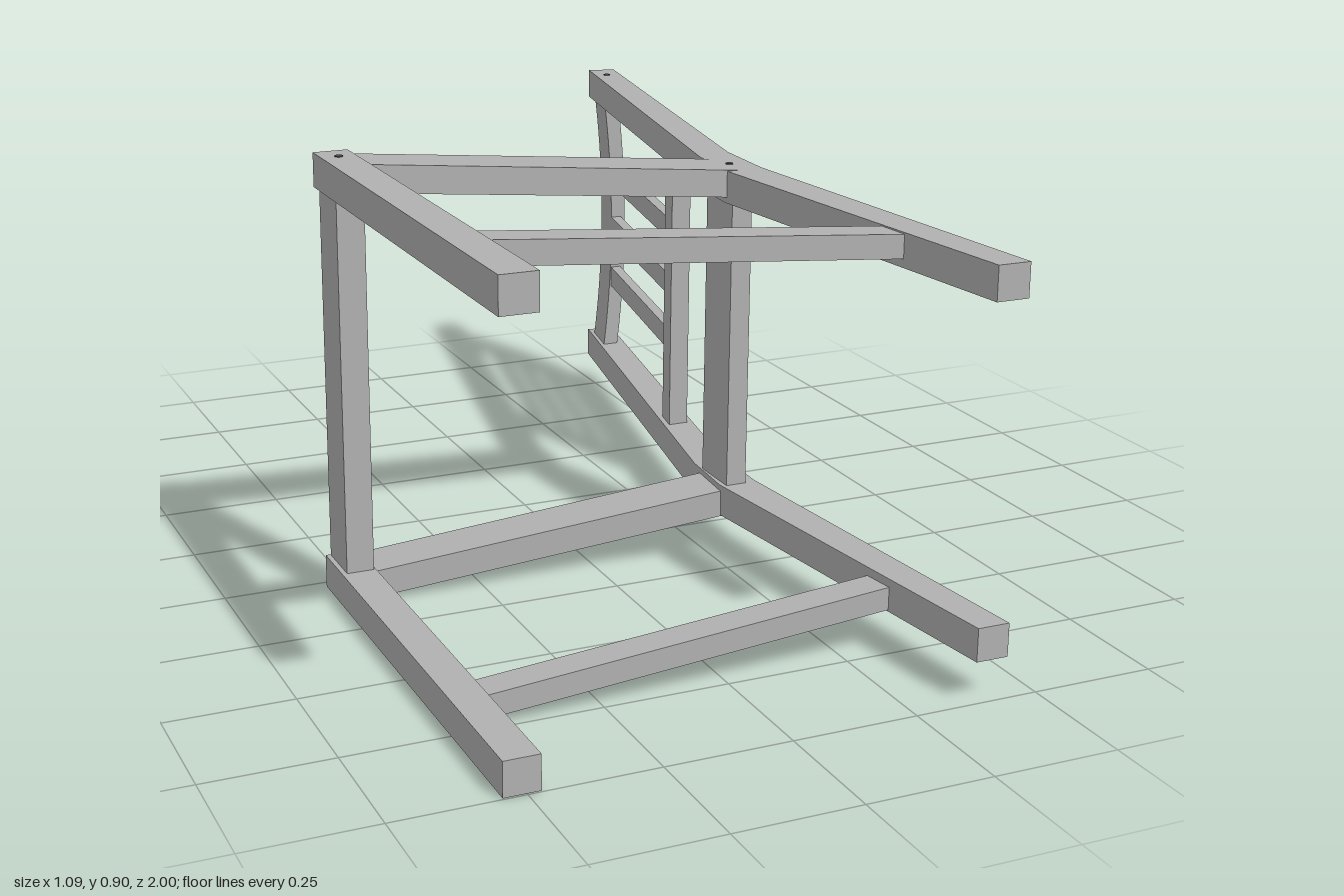
import * as THREE from 'three';

// A chair frame lying on its side: its seat width runs along y, its upright direction along -z.
export function createModel() {
  const model = new THREE.Group();
  model.name = 'chairFrame';
  const wood = new THREE.MeshStandardMaterial({ color: 0xb0b0b0 });
  wood.name = 'greyWood';
  const dark = new THREE.MeshStandardMaterial({ color: 0x555555 });
  dark.name = 'darkPeg';
  const MID = 0.45; // mirror plane of the chair in y

  function add(name, geometry, material = wood) {
    const mesh = new THREE.Mesh(geometry, material);
    mesh.name = name;
    model.add(mesh);
    return mesh;
  }
  // Box from its min and max corners
  function box(name, x0, x1, y0, y1, z0, z1) {
    add(name, new THREE.BoxGeometry(x1 - x0, y1 - y0, z1 - z0))
      .position.set((x0 + x1) / 2, (y0 + y1) / 2, (z0 + z1) / 2);
  }
  // Beam along x whose centre and height change from end a to end b: [x, d, z, height]
  function beam(name, side, a, b, thick) {
    const g = new THREE.BoxGeometry(1, 1, 1).toNonIndexed();
    const p = g.attributes.position;
    for (let i = 0; i < p.count; i++) {
      const t = p.getX(i) + 0.5;
      const [x, d, z, h] = a.map((v, k) => v + (b[k] - v) * t);
      p.setXYZ(i, x, MID + side * d + p.getY(i) * thick, z + p.getZ(i) * h);
    }
    g.computeVertexNormals();
    add(name, g);
  }
  // Outline in the x-z plane extruded along y
  function profile(points, depth) {
    const shape = new THREE.Shape(points.map(([x, z]) => new THREE.Vector2(x, -z)));
    return new THREE.ExtrudeGeometry(shape, { depth, bevelEnabled: false }).rotateX(-Math.PI / 2);
  }

  const backLeg = [[0.37, 1], [0.435, 1], [0.355, 0.16], [0.36, 0],
    [0.54, -0.985], [0.48, -1], [0.285, 0.02], [0.275, 0.16]];

  for (const side of [1, -1]) {
    const s = side > 0 ? 'upper' : 'lower';
    // Legs
    const f = MID + side * 0.415;
    box(s + 'FrontLeg', -0.545, -0.475, f - 0.034, f + 0.034, 0.025, 1);
    add(s + 'BackLeg', profile(backLeg, 0.066)).position.y = MID + side * 0.336 - 0.033;
    // Seat rail and stretcher
    beam(s + 'SeatRail', side, [-0.48, 0.414, 0.081, 0.108], [0.30, 0.341, 0.108, 0.115], 0.056);
    beam(s + 'Stretcher', side, [-0.48, 0.414, 0.706, 0.068], [0.36, 0.341, 0.706, 0.068], 0.046);
    // Pegs on the outer faces of the legs
    for (const [x, z, d] of [[-0.51, 0.08, 0.449], [0.31, 0.105, 0.369], [0.493, -0.92, 0.369]]) {
      add(s + 'Peg', new THREE.CylinderGeometry(0.008, 0.008, 0.004, 12), dark)
        .position.set(x, MID + side * d, z);
    }
    // Pegs on the inside of the front rail
    const peg = add(s + 'FrontRailPeg', new THREE.CylinderGeometry(0.008, 0.008, 0.004, 12), dark);
    peg.rotation.z = Math.PI / 2;
    peg.position.set(-0.479, MID + side * 0.25, 0.05);
  }

  // Cross rails of the seat
  box('frontSeatRail', -0.535, -0.479, 0.06, 0.84, 0.028, 0.135);
  box('backSeatRail', 0.286, 0.33, 0.13, 0.77, 0.056, 0.17);

  // Lower rail of the back, leaning with the legs
  const lean = 0.188;
  const tilted = (x, z0, z1, thick) => [[x, z0], [x + thick, z0],
    [x + thick + lean * (z0 - z1), z1], [x + lean * (z0 - z1), z1]];
  add('lowerBackRail', profile(tilted(0.345, -0.232, -0.292, 0.044), 0.63)).position.y = 0.135;

  // Three slats
  for (let i = -1; i <= 1; i++) {
    add('backSlat', profile(tilted(0.372, -0.28, -0.87, 0.024), 0.048)).position.y = MID + i * 0.128 - 0.024;
  }

  // Bowed top rail: box bent backwards along y
  const g = new THREE.BoxGeometry(0.036, 0.63, 0.105, 1, 20, 1);
  const p = g.attributes.position;
  for (let i = 0; i < p.count; i++) {
    const u = p.getY(i) / 0.315;
    const bow = 0.02 * (1 - u * u);
    p.setX(i, p.getX(i) + bow - lean * p.getZ(i));
  }
  g.computeVertexNormals();
  add('topBackRail', g).position.set(0.489, MID, -0.913);

  return model;
}
